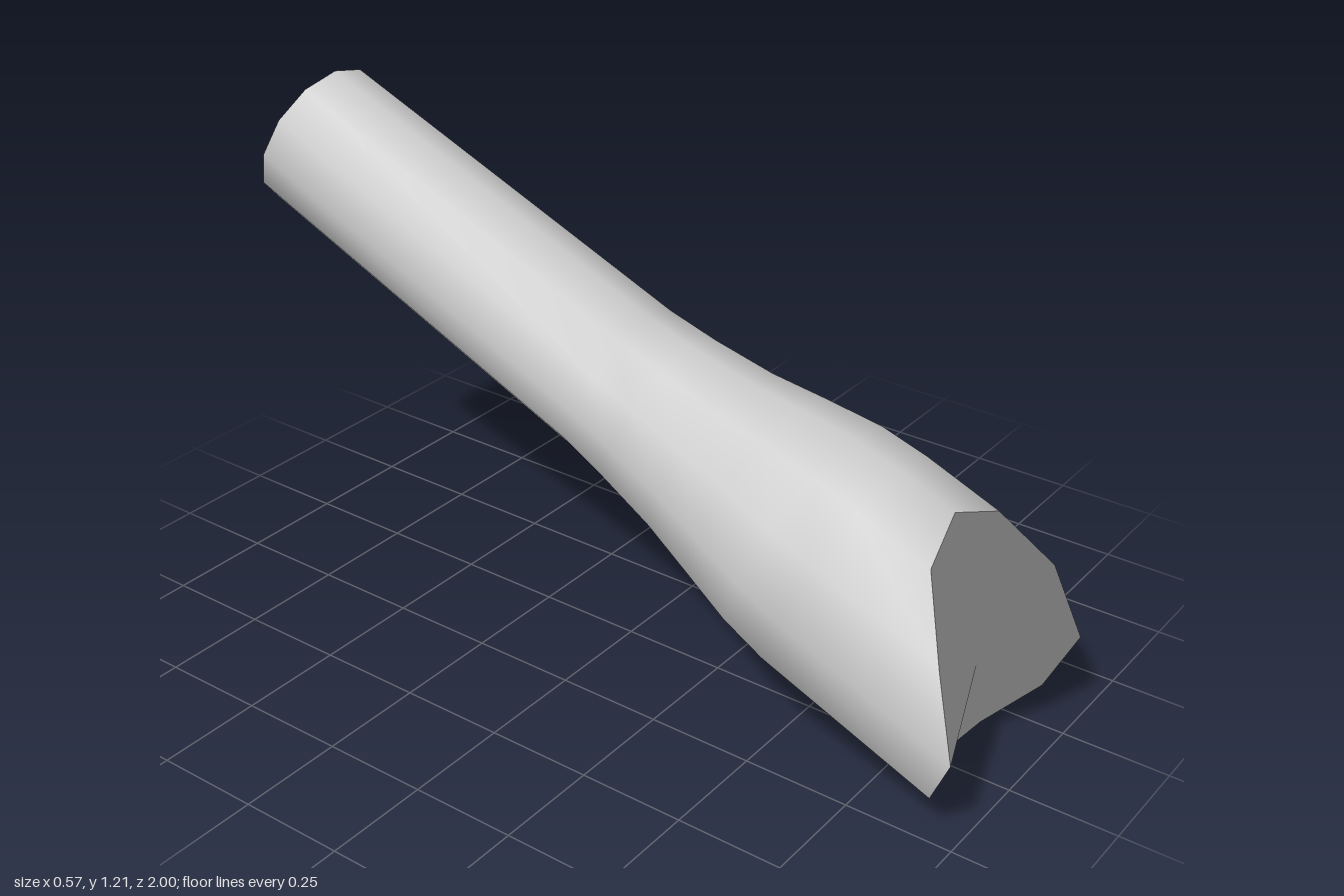
import * as THREE from 'three';

const SIDES = 12;
const COS = 0.925, SIN = 0.38; // downward tilt of the tube's axis

// Tube coordinates (sideways x, height v across the axis, distance s along it) to model space
const place = (x, v, s) => [x, COS * v - SIN * s, COS * s + SIN * v];

// Rings from the open back end to the flared end: [s, centre height, radius]
const RINGS = [
  [-1.257, 0.6155, 0.1815],
  [-0.275, 0.606, 0.19],
  [-0.15, 0.604, 0.201],
  [0, 0.604, 0.22],
  [0.13, 0.605, 0.247],
  [0.264, 0.604, 0.274],
  [0.38, 0.601, 0.284],
];
// The front rim is cut unevenly: s from the top of the rim, down one side, to the bottom
const RIM = [0.523, 0.57, 0.71, 0.834, 0.828, 0.775, 0.757];

function ringPoints(s, centre, radius) {
  return Array.from({ length: SIDES }, (_, j) => {
    const a = (j / SIDES) * Math.PI * 2;
    const along = Array.isArray(s) ? s[Math.min(j, SIDES - j)] : s;
    return place(radius * Math.sin(a), centre + radius * Math.cos(a), along);
  });
}

function makeGeometry(points, index) {
  const g = new THREE.BufferGeometry();
  g.setAttribute('position', new THREE.Float32BufferAttribute(points.flat(), 3));
  g.setIndex(index);
  g.computeVertexNormals();
  return g;
}

export function createModel() {
  const group = new THREE.Group();
  group.name = 'flaredTube';
  const grey = new THREE.MeshStandardMaterial({ color: 0xcccccc, side: THREE.DoubleSide });
  grey.name = 'light grey';

  // Tube wall, open at the back
  const rim = ringPoints(RIM, 0.601, 0.285);
  const rings = [...RINGS.map((r) => ringPoints(...r)), rim];
  const wallIndex = [];
  for (let i = 0; i < rings.length - 1; i++) {
    for (let j = 0; j < SIDES; j++) {
      const k = (j + 1) % SIDES;
      const a = i * SIDES + j, b = i * SIDES + k;
      wallIndex.push(a, a + SIDES, b, b, a + SIDES, b + SIDES);
    }
  }
  const wall = new THREE.Mesh(makeGeometry(rings.flat(), wallIndex), grey);
  wall.name = 'tubeWall';
  group.add(wall);

  // Front cap: a fan around the rim's middle, shaded as one surface facing along the axis
  const capIndex = [];
  for (let j = 0; j < SIDES; j++) capIndex.push(SIDES, (j + 1) % SIDES, j);
  const capGeometry = makeGeometry([...rim, place(0, 0.601, 0.724)], capIndex);
  const normals = capGeometry.attributes.normal;
  for (let i = 0; i < normals.count; i++) normals.setXYZ(i, 0, -SIN, COS);
  const cap = new THREE.Mesh(capGeometry, grey);
  cap.name = 'frontCap';
  group.add(cap);

  return group;
}
